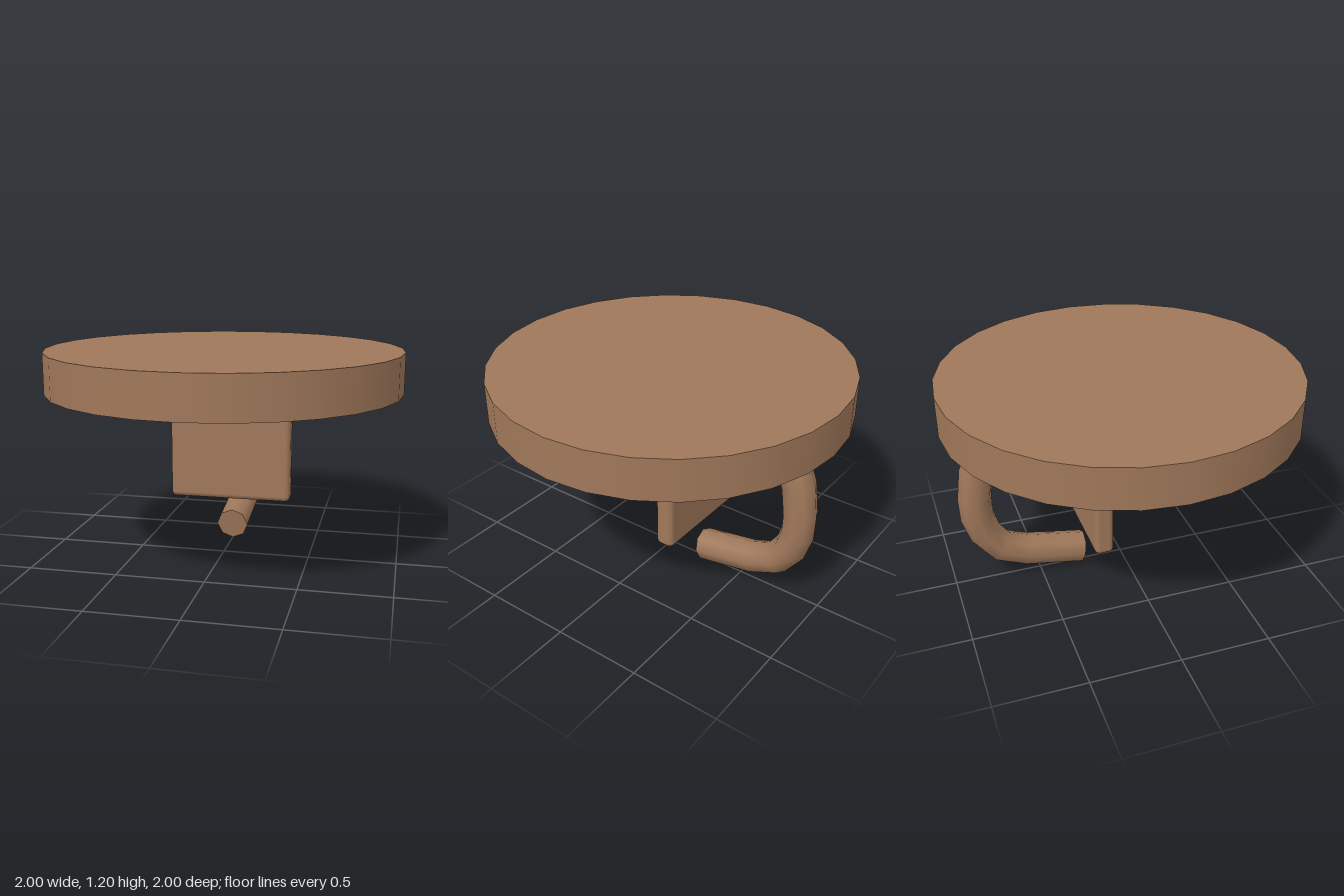
import * as THREE from 'three';
import { RoundedBoxGeometry } from 'three/addons/geometries/RoundedBoxGeometry.js';

export function createModel() {
  const model = new THREE.Group();
  const wood = new THREE.MeshStandardMaterial({ color: 0xa0785a });
  wood.name = 'brown';

  function add(parent, name, geometry, x = 0, y = 0, z = 0) {
    const mesh = new THREE.Mesh(geometry, wood);
    mesh.name = name;
    mesh.position.set(x, y, z);
    parent.add(mesh);
    return mesh;
  }

  // Round top
  add(model, 'discTop', new THREE.CylinderGeometry(1, 1, 0.23, 28), 0, 1.095, 0);

  // Hanging plate with softened edges
  add(model, 'plate', new RoundedBoxGeometry(0.724, 0.604, 0.108, 2, 0.03), 0, 0.585, -0.208);

  // Hooked handle: eight-sided bar swept through one ring per point [y, z]
  const handle = new THREE.Group();
  handle.name = 'handle';
  model.add(handle);
  const radius = 0.094;
  const points = [
    [0.89, -0.12], [1.0, -0.505], [1.0, -0.672], [0.905, -0.762], [0.737, -0.825],
    [0.567, -0.847], [0.447, -0.843], [0.325, -0.805], [0.222, -0.728],
    [0.16, -0.575], [0.102, -0.245],
  ].map(([y, z]) => new THREE.Vector3(0, y, z));
  const path = new THREE.CatmullRomCurve3(points);
  // Keep the rings exactly on the given points
  path.getPointAt = path.getPoint;
  path.getTangentAt = path.getTangent;
  add(handle, 'handleBar', new THREE.TubeGeometry(path, points.length - 1, radius, 8));

  // Flat ends of the bar
  for (const [name, t, sign] of [['upperEnd', 0, -1], ['lowerEnd', 1, 1]]) {
    const p = path.getPoint(t);
    const cap = add(handle, name, new THREE.CircleGeometry(radius, 8), p.x, p.y, p.z);
    cap.lookAt(p.clone().addScaledVector(path.getTangent(t), sign));
  }
  return model;
}
